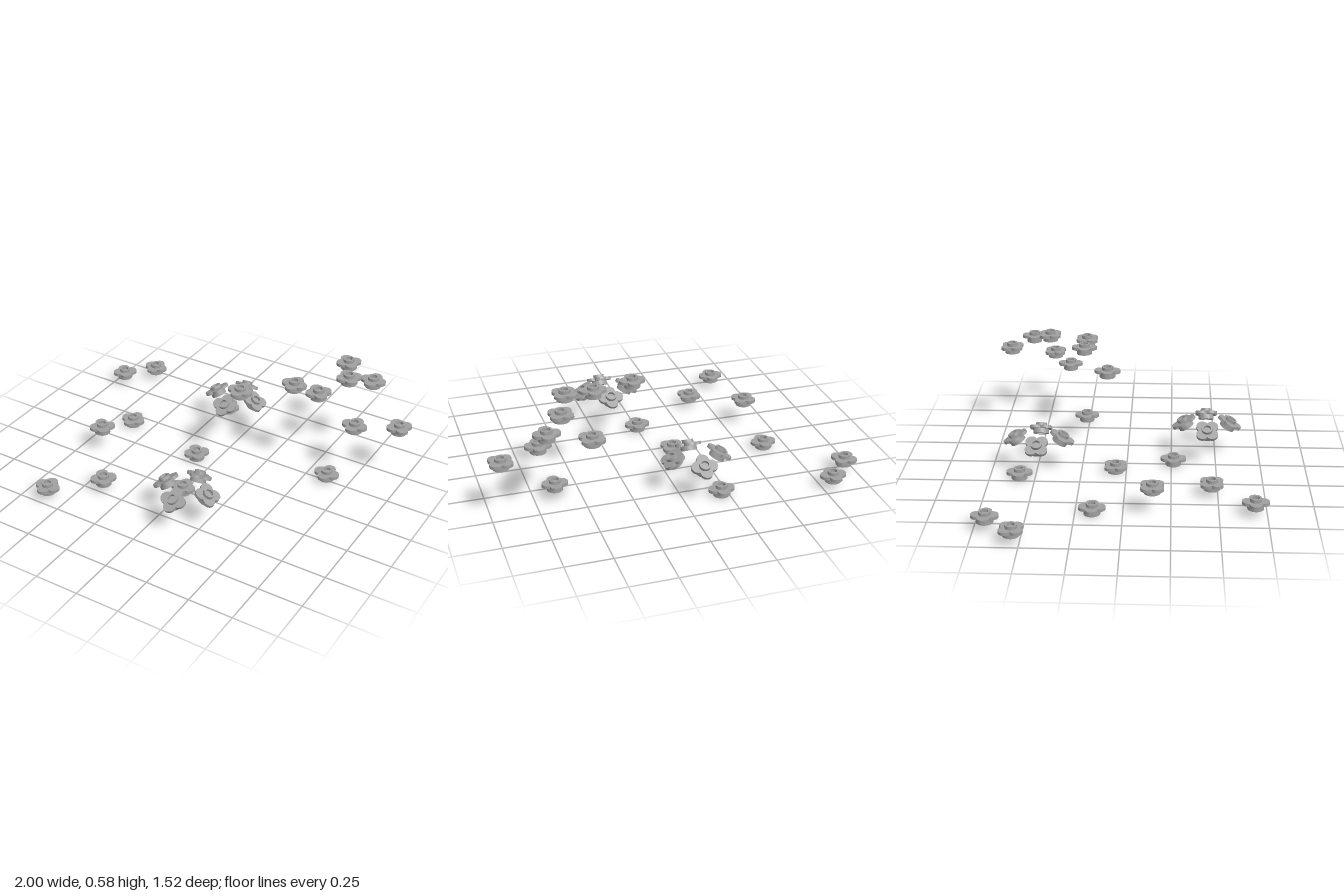
import * as THREE from 'three';
import { toCreasedNormals } from 'three/addons/utils/BufferGeometryUtils.js';

const grey = new THREE.MeshStandardMaterial({ color: 0xa0a0a0 });
grey.name = 'grey';

// Solid of revolution with crisp edges
function turned(points) {
  const profile = points.map(([r, y]) => new THREE.Vector2(r, y));
  return toCreasedNormals(new THREE.LatheGeometry(profile, 24), 0.6);
}

// Four round lobes joined in one flat plate
function petalPlate(y, thickness) {
  const d = 0.038, r = 0.034, sweep = THREE.MathUtils.degToRad(97);
  const shape = new THREE.Shape();
  for (let k = 0; k < 4; k++) {
    const a = k * Math.PI / 2;
    shape.absarc(d * Math.cos(a), d * Math.sin(a), r, a - sweep, a + sweep, false);
  }
  const geo = new THREE.ExtrudeGeometry(shape, { depth: thickness, bevelEnabled: false, curveSegments: 16 });
  geo.rotateX(-Math.PI / 2).translate(0, y, 0);
  return toCreasedNormals(geo, 0.6);
}

const parts = {
  baseTube: turned([[0, 0.026], [0.031, 0.026], [0.031, 0], [0.044, 0], [0.044, 0.027]]),
  petals: petalPlate(0.026, 0.017),
  hollowStud: turned([[0.031, 0.042], [0.031, 0.061], [0.02, 0.061], [0.02, 0.045], [0, 0.045]]),
};

// One flower; a diagonal flower has its petals turned by 45 degrees
function flower(diagonal) {
  const group = new THREE.Group();
  group.name = 'flower';
  for (const [name, geometry] of Object.entries(parts)) {
    const mesh = new THREE.Mesh(geometry, grey);
    mesh.name = name;
    group.add(mesh);
  }
  if (diagonal) group.rotation.y = Math.PI / 4;
  return group;
}

// Level flowers: x, y, z, diagonal
const level = [
  [-0.805, 0.039, -0.69, 0], [-0.94, 0.039, -0.54, 1],
  [-0.607, 0.039, 0.687, 0], [-0.39, 0.039, 0.467, 1],
  [-0.21, 0, -0.585, 0], [-0.62, 0, -0.16, 0],
  [-0.11, 0, -0.06, 1], [0, 0, 0.262, 0], [0.62, 0, -0.268, 0],
  [-0.617, 0.125, 0.152, 1],
  [0.14, 0.47, -0.115, 0], [0.72, 0.474, -0.587, 0], [0.517, 0.474, -0.697, 1],
  [0.395, 0.516, -0.262, 0], [0.547, 0.516, -0.255, 1], [0.62, 0.516, -0.48, 1],
  [0.722, 0.298, -0.37, 0], [0.939, 0.298, -0.483, 1],
];

// Four flowers leaning outward around a centre
function cluster(x, z) {
  const group = new THREE.Group();
  group.name = 'flowerCluster';
  group.position.set(x, 0.171, z);
  for (let k = 0; k < 4; k++) {
    const yaw = k * Math.PI / 2;
    const holder = new THREE.Group();
    holder.name = 'leaningFlower';
    holder.position.set(0.113 * Math.sin(yaw), 0, 0.113 * Math.cos(yaw));
    holder.rotation.set(Math.PI / 6, yaw, 0, 'YXZ');
    holder.add(flower(k % 2 === 1));
    group.add(holder);
  }
  return group;
}

export function createModel() {
  const model = new THREE.Group();
  model.name = 'scatteredFlowers';
  for (const [x, y, z, diagonal] of level) {
    const f = flower(diagonal);
    f.position.set(x, y, z);
    model.add(f);
  }
  model.add(cluster(-0.1, -0.485), cluster(0.142, 0.448));
  return model;
}
